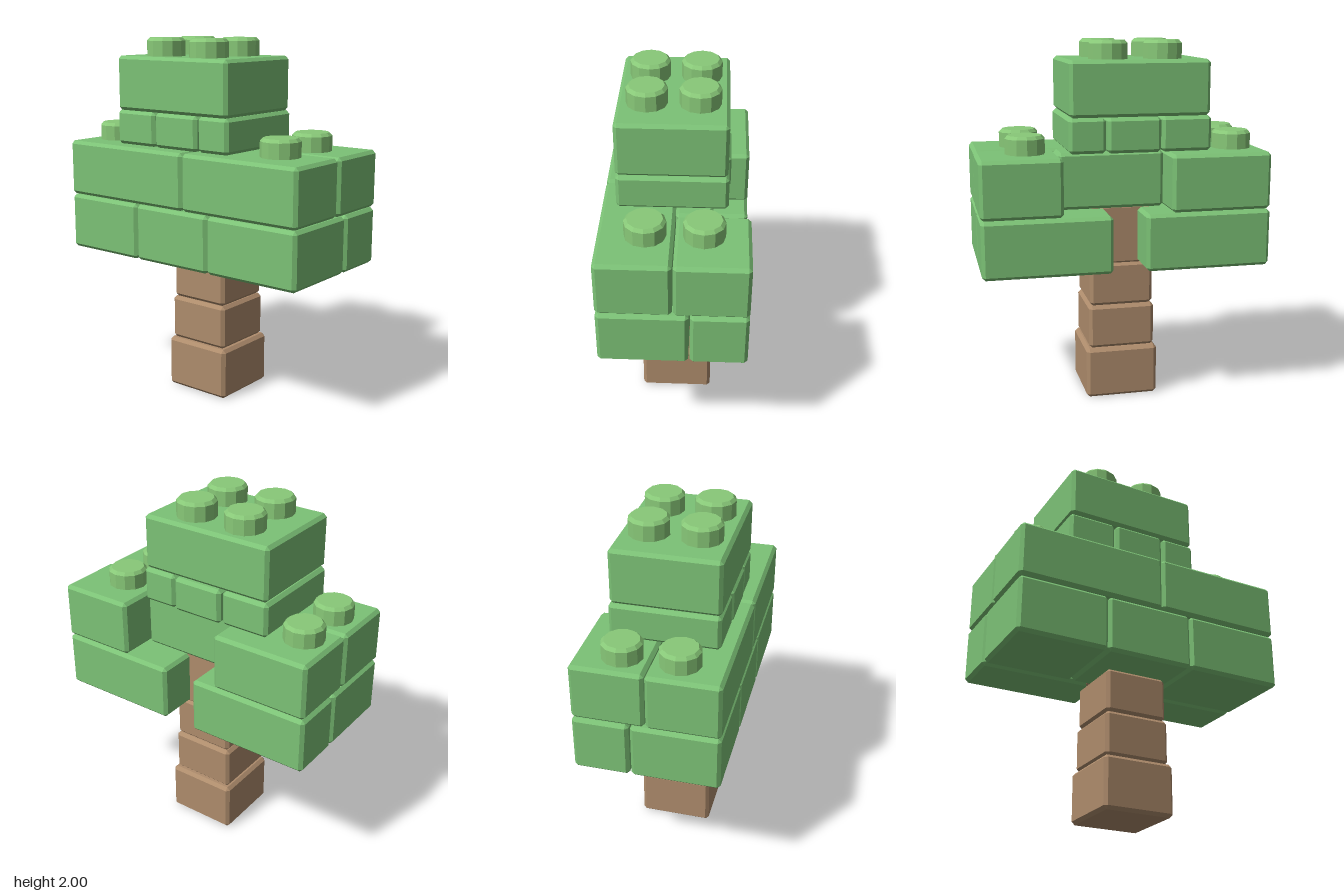
import * as THREE from 'three';
import { ConvexGeometry } from 'three/addons/geometries/ConvexGeometry.js';

const green = new THREE.MeshStandardMaterial({ color: 0x7cc276, flatShading: true });
const studGreen = new THREE.MeshStandardMaterial({ color: 0x88c878, flatShading: true });
const brown = new THREE.MeshStandardMaterial({ color: 0xae8c6c, flatShading: true });

// Box with chamfered edges: three points around every corner
function chamferedBox(w, h, d, c = 0.018) {
  const points = [];
  for (const sx of [-1, 1]) for (const sy of [-1, 1]) for (const sz of [-1, 1]) {
    const [x, y, z] = [w / 2, h / 2, d / 2];
    points.push(
      new THREE.Vector3(sx * x, sy * (y - c), sz * (z - c)),
      new THREE.Vector3(sx * (x - c), sy * y, sz * (z - c)),
      new THREE.Vector3(sx * (x - c), sy * (y - c), sz * z));
  }
  return new ConvexGeometry(points);
}

// Brick given by its extents
function brick(name, material, [x0, x1], [y0, y1], [z0, z1]) {
  const mesh = new THREE.Mesh(chamferedBox(x1 - x0, y1 - y0, z1 - z0), material);
  mesh.position.set((x0 + x1) / 2, (y0 + y1) / 2, (z0 + z1) / 2);
  mesh.name = name;
  return mesh;
}

// Faceted stud with a chamfered rim
const studProfile = [[0.108, -0.02], [0.108, 0.085], [0.092, 0.102], [0, 0.102]]
  .map(([r, y]) => new THREE.Vector2(r, y));
const studGeometry = new THREE.LatheGeometry(studProfile, 12);

function studs(name, xs, zs, y) {
  const group = new THREE.Group();
  group.name = name;
  for (const x of xs) for (const z of zs) {
    const mesh = new THREE.Mesh(studGeometry, studGreen);
    mesh.position.set(x, y, z);
    mesh.name = 'stud';
    group.add(mesh);
  }
  return group;
}

function layer(name, material, y, bricks) {
  const group = new THREE.Group();
  group.name = name;
  for (const [part, x, z] of bricks) group.add(brick(part, material, x, y, z));
  return group;
}

export function createModel() {
  const model = new THREE.Group();
  model.name = 'brickTree';

  // Trunk, slightly uneven blocks; the last one fills the core of the foliage
  const trunk = new THREE.Group();
  trunk.name = 'trunk';
  trunk.add(
    brick('trunkBase', brown, [-0.205, 0.2], [0, 0.288], [-0.2, 0.205]),
    brick('trunkMiddle', brown, [-0.19, 0.182], [0.288, 0.535], [-0.182, 0.188]),
    brick('trunkUpper', brown, [-0.182, 0.175], [0.535, 0.78], [-0.175, 0.18]),
    brick('trunkCore', brown, [-0.175, 0.172], [0.77, 1.11], [-0.17, 0.17]));
  model.add(trunk);

  // Lower foliage: three bricks in front, two behind with a gap
  model.add(layer('lowerFoliage', green, [0.778, 1.092], [
    ['frontRightBrick', [-0.79, -0.28], [-0.083, 0.388]],
    ['frontMiddleBrick', [-0.28, 0.22], [-0.083, 0.388]],
    ['frontLeftBrick', [0.22, 0.785], [-0.083, 0.388]],
    ['backRightBrick', [-0.79, -0.095], [-0.39, -0.09]],
    ['backLeftBrick', [0.085, 0.785], [-0.39, -0.09]],
  ]));

  // Middle foliage: two long bricks in front, two behind, a recessed wall between
  model.add(layer('middleFoliage', green, [1.096, 1.408], [
    ['frontRightBrick', [-0.792, 0.05], [0, 0.388]],
    ['frontLeftBrick', [0.05, 0.785], [0, 0.388]],
    ['backRightBrick', [-0.788, -0.235], [-0.39, -0.005]],
    ['backLeftBrick', [0.35, 0.787], [-0.39, -0.005]],
    ['recessedBrick', [-0.235, 0.35], [-0.195, 0]],
  ]));
  model.add(studs('middleStuds', [-0.632, 0.522], [-0.152, 0.145], 1.406));

  // Narrow course of three bricks
  model.add(layer('upperCourse', green, [1.41, 1.6], [
    ['rightBrick', [-0.482, -0.205], [-0.272, 0.312]],
    ['middleBrick', [-0.2, 0.095], [-0.282, 0.316]],
    ['leftBrick', [0.1, 0.302], [-0.272, 0.312]],
  ]));

  // Crown
  model.add(brick('crownBrick', green, [-0.475, 0.295], [1.6, 1.9], [-0.265, 0.312]));
  model.add(studs('crownStuds', [-0.242, 0.06], [-0.115, 0.158], 1.898));

  return model;
}
